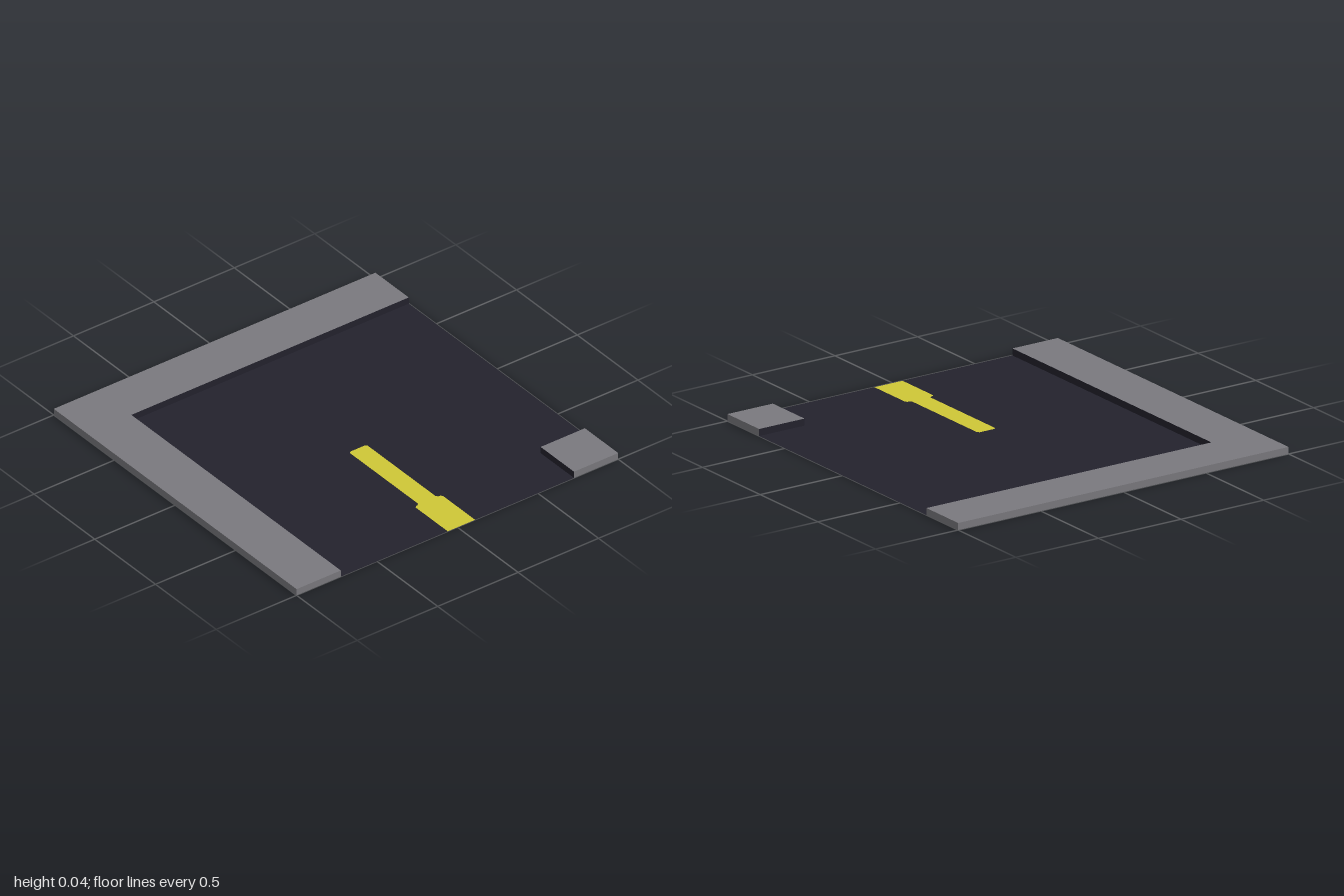
import * as THREE from 'three';

const H = 0.037; // pavement height
const K = 0.725; // kerb line

const paint = (name, color) => {
  const m = new THREE.MeshStandardMaterial({ color, side: THREE.DoubleSide });
  m.name = name;
  return m;
};

// Flat horizontal sheet from plan points [x, -z]
function sheet(name, points, y, material) {
  const shape = new THREE.Shape(points.map(([x, v]) => new THREE.Vector2(x, v)));
  const mesh = new THREE.Mesh(new THREE.ShapeGeometry(shape).rotateX(-Math.PI / 2), material);
  mesh.position.y = y;
  mesh.name = name;
  return mesh;
}

// Upright wall between two plan points, facing outwards for a counter-clockwise outline
function wall(name, [ax, av], [bx, bv], material) {
  const geometry = new THREE.PlaneGeometry(Math.hypot(bx - ax, bv - av), H);
  const mesh = new THREE.Mesh(geometry, material);
  mesh.position.set((ax + bx) / 2, H / 2, -(av + bv) / 2);
  mesh.rotation.y = Math.atan2(bv - av, bx - ax);
  mesh.name = name;
  return mesh;
}

// Raised pavement, open underneath, with dark kerb faces towards the road
function pavement(name, outline, kerbEdges, concrete, asphalt) {
  const group = new THREE.Group();
  group.name = name;
  group.add(sheet('pavementTop', outline, H, concrete));
  outline.forEach((p, i) => {
    const kerb = kerbEdges.includes(i);
    const next = outline[(i + 1) % outline.length];
    group.add(wall(kerb ? 'kerbFace' : 'outerWall', p, next, kerb ? asphalt : concrete));
  });
  return group;
}

export function createModel() {
  const concrete = paint('concrete grey', 0x7a797e);
  const asphalt = paint('asphalt', 0x23222d);
  const yellow = paint('road yellow', 0xcfc736);

  const model = new THREE.Group();
  model.name = 'roadTile';

  // Centre line: a narrow dash that widens at the tile edge
  const marking = [
    [1, -0.06], [0.735, -0.06], [0.725, -0.05], [0.725, -0.04], [0.715, -0.03],
    [0.155, -0.03], [0.145, -0.02], [0.145, 0.07], [0.155, 0.08],
    [0.715, 0.08], [0.725, 0.09], [0.725, 0.1], [0.735, 0.11], [1, 0.11],
  ];
  model.add(sheet('centreLine', marking, 0, yellow));

  // Road surface fitted around the centre line
  const road = [[-K, -K], [1, -K], ...marking, [1, K], [K, K], [K, 1], [-K, 1]];
  model.add(sheet('roadSurface', road, 0, asphalt));

  // L-shaped pavement and the small corner pavement
  const bend = [[-1, -1], [1, -1], [1, -K], [-K, -K], [-K, 1], [-1, 1]];
  model.add(pavement('bendPavement', bend, [2, 3], concrete, asphalt));
  const corner = [[K, K], [1, K], [1, 1], [K, 1]];
  model.add(pavement('cornerPavement', corner, [0, 3], concrete, asphalt));

  return model;
}
